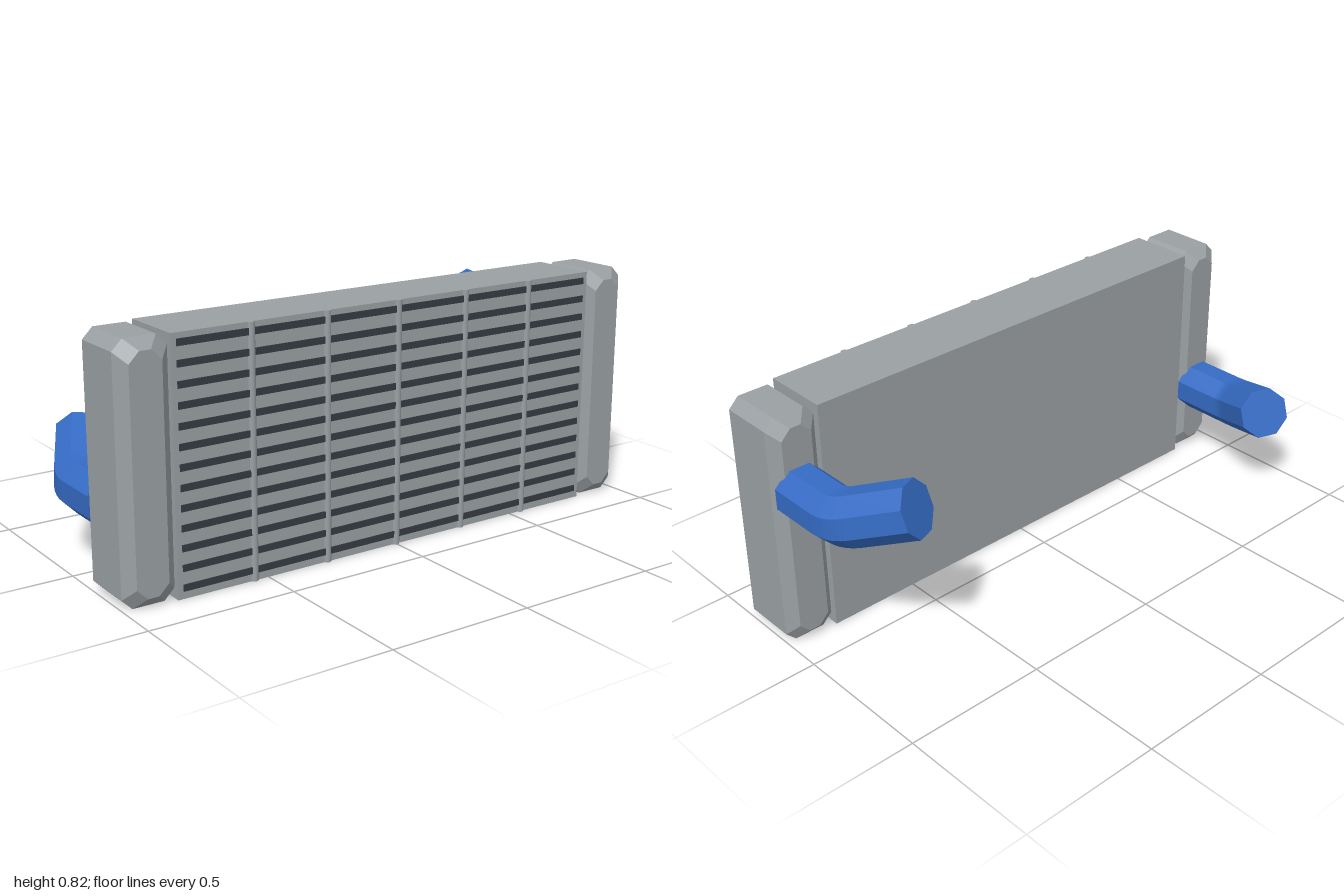
import * as THREE from 'three';

const mat = (name, color) => {
  const m = new THREE.MeshStandardMaterial({ color });
  m.name = name;
  return m;
};

// Skins a list of equal-length rings (counter-clockwise about the travel direction), capped, with flat facets
function loft(rings) {
  const n = rings[0].length, idx = [];
  for (let i = 0; i < rings.length - 1; i++) {
    for (let j = 0; j < n; j++) {
      const k = (j + 1) % n, a = i * n, b = a + n;
      idx.push(a + j, a + k, b + k, a + j, b + k, b + j);
    }
  }
  const last = (rings.length - 1) * n;
  for (let j = 1; j < n - 1; j++) {
    idx.push(0, j + 1, j);
    idx.push(last, last + j, last + j + 1);
  }
  const g = new THREE.BufferGeometry().setFromPoints(rings.flat());
  g.setIndex(idx);
  const flat = g.toNonIndexed();
  flat.computeVertexNormals();
  return flat;
}

// Rectangle with cut corners, in the plane at z
function cutRect(w, h, c, z) {
  const x = w / 2, y = h / 2;
  return [[x, -y + c], [x, y - c], [x - c, y], [-x + c, y], [-x, y - c], [-x, -y + c], [-x + c, -y], [x - c, -y]]
    .map(([px, py]) => new THREE.Vector3(px, py, z));
}

// Side tank: octagonal outline with bevelled front and back
function tankGeometry() {
  const w = 0.178, h = 0.825, b = 0.035, z0 = 0.113, z1 = 0.37;
  return loft([
    cutRect(w - 2 * b, h - 2 * b, b, z0),
    cutRect(w, h, b, z0 + b),
    cutRect(w, h, b, z1 - b),
    cutRect(w - 2 * b, h - 2 * b, b, z1),
  ]);
}

// Eight-sided hose, from its free end to the tank; side is +1 or -1
function hoseGeometry(side, y) {
  const x = 0.911, dir = new THREE.Vector3(-side * 0.52, 0.41, -1);
  const corner = new THREE.Vector3(side * x, y, -0.1);
  const at = (d) => corner.clone().addScaledVector(dir, d);
  const bend = new THREE.QuadraticBezierCurve3(at(0.045), corner, new THREE.Vector3(side * x, y, -0.055));
  const forward = new THREE.Vector3(0, 0, 1);
  const ring = (p, t) => {
    const q = new THREE.Quaternion().setFromUnitVectors(forward, t.clone().normalize());
    return Array.from({ length: 8 }, (_, j) => {
      const a = ((j + 0.5) * Math.PI) / 4;
      return new THREE.Vector3(Math.cos(a), Math.sin(a), 0).multiplyScalar(0.0925).applyQuaternion(q).add(p);
    });
  };
  const rings = [ring(at(0.217), dir.clone().negate())];
  for (let i = 0; i <= 5; i++) rings.push(ring(bend.getPoint(i / 5), bend.getTangent(i / 5)));
  rings.push(ring(new THREE.Vector3(side * x, y, 0.125), forward));
  return loft(rings);
}

export function createModel() {
  const metal = mat('grey metal', 0x9aa0a3);
  const dark = mat('dark slot', 0x363b42);
  const blue = mat('blue hose', 0x356bc4);
  const root = new THREE.Group();
  root.name = 'radiator';
  const add = (name, geo, material, x = 0, y = 0, z = 0) => {
    const m = new THREE.Mesh(geo, material);
    m.name = name;
    m.position.set(x, y, z);
    root.add(m);
  };

  // Core block
  const H = 0.825, back = 0.122, front = 0.357;
  add('core', new THREE.BoxGeometry(1.644, H, front - back), metal, 0, H / 2, (front + back) / 2);

  // Dark cooling slots
  const slot = new THREE.BoxGeometry(1.608, 0.022, 0.008);
  for (let i = 0; i < 13; i++) add('slot', slot, dark, 0, 0.036 + i * 0.0633, front);

  // Rounded upright bars over the slots
  const bar = new THREE.CylinderGeometry(0.0135, 0.0135, H, 12);
  for (let i = -2; i <= 2; i++) add('uprightBar', bar, metal, i * 0.275, H / 2, 0.353);

  // Side tanks and hoses
  const tank = tankGeometry();
  for (const side of [1, -1]) {
    const label = side > 0 ? 'left' : 'right';
    add(label + 'Tank', tank, metal, side * 0.911, H / 2);
    add(label + 'Hose', hoseGeometry(side, side > 0 ? 0.5625 : 0.265), blue);
  }
  return root;
}
